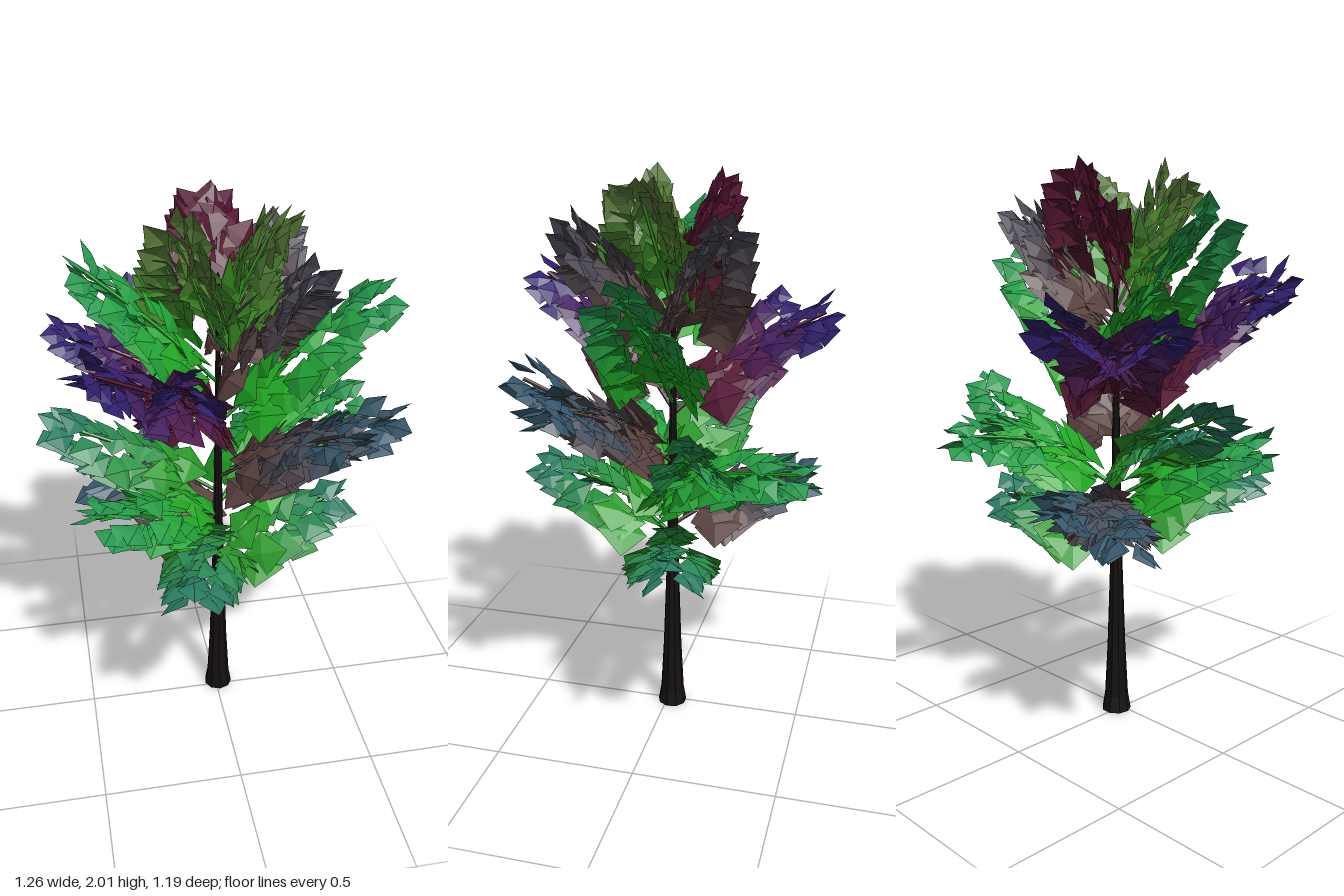
import * as THREE from 'three';
import { mergeGeometries } from 'three/addons/utils/BufferGeometryUtils.js';

const V = (x, y, z) => new THREE.Vector3(x, y, z);
const UP = V(0, 1, 0);

// leaf colours, from the trunk end of a branch to its tip
const PALETTE = {
  green: [0x22a825, 0x27994f],
  teal: [0x2b9a2b, 0x2a7d62],
  purple: [0x5c1c3a, 0x32206e],
  slate: [0x5c4442, 0x36566a],
  dusk: [0x5c4442, 0x4c4a56],
  red: [0x55182c, 0x5a1436],
  olive: [0x3f9428, 0x5a7a3a],
};

// start height on the trunk, colours, leaf spread, arch, and one or two tips
const BRANCHES = [
  [0.62, 'teal', 1.0, 0.04, [0.54, 0.80, -0.14]],
  [0.70, 'teal', 1.0, 0.06, [-0.19, 0.88, 0.57]],
  [0.74, 'slate', 0.85, 0.03, [-0.47, 0.84, -0.41], [-0.20, 0.94, -0.51]],
  [0.82, 'green', 1.0, 0.04, [-0.49, 1.04, 0.27]],
  [0.86, 'green', 0.9, 0.03, [0.32, 1.10, -0.56], [0.60, 1.22, -0.20]],
  [0.92, 'teal', 1.0, 0.03, [-0.61, 1.23, -0.14]],
  [0.98, 'slate', 0.9, 0.03, [0.61, 1.36, 0.28], [0.38, 1.39, 0.45]],
  [1.16, 'purple', 0.85, 0.02, [-0.27, 1.54, -0.57], [-0.56, 1.51, -0.34]],
  [1.18, 'purple', 0.85, 0.02, [-0.20, 1.66, 0.56], [-0.50, 1.64, 0.36]],
  [1.20, 'green', 1.1, 0.02, [0.61, 1.72, 0.01]],
  [1.36, 'green', 1.1, 0.02, [-0.47, 1.84, -0.01]],
  [1.42, 'dusk', 1.2, 0, [0.26, 1.86, 0.28]],
  [1.42, 'dusk', 1.1, 0, [0.27, 1.86, -0.26]],
  [1.50, 'olive', 1.2, 0, [-0.16, 1.96, 0.13]],
  [1.54, 'olive', 1.2, 0, [0.20, 1.97, 0.05]],
  [1.58, 'red', 1.2, 0, [0.0, 1.97, -0.20]],
];

let seed = 7;
function rand(range) {
  seed = (seed * 16807) % 2147483647;
  return (seed / 2147483647 * 2 - 1) * range;
}

// sharp-cornered square leaf, pointing along +z and creased along its midrib
function leafGeometry() {
  const g = new THREE.BufferGeometry();
  g.setAttribute('position', new THREE.Float32BufferAttribute([
    0, 0, 0, 0.52, -0.12, 0.5, 0, -0.06, 1.1, -0.52, -0.12, 0.5, 0, 0.05, 0.5,
  ], 3));
  g.setIndex([0, 4, 1, 1, 4, 2, 2, 4, 3, 3, 4, 0]);
  const flat = g.toNonIndexed();
  flat.computeVertexNormals();
  return flat;
}

// place a leaf by its root, pointing direction and upper side
function placeLeaf(leaf, root, dir, up, size) {
  const z = dir.clone().normalize();
  const x = up.clone().cross(z).normalize();
  const y = z.clone().cross(x);
  const m = new THREE.Matrix4().makeBasis(x, y, z);
  m.scale(V(size, size, size)).setPosition(root);
  return leaf.clone().applyMatrix4(m);
}

// roof-like rows of leaves along a branch: a raised middle and drooping sides
function foliage(curve, spread, colors) {
  const group = new THREE.Group();
  group.name = 'foliage';
  const leaf = leafGeometry();
  const BANDS = 4, ROWS = 16;
  const bands = Array.from({ length: BANDS }, () => []);
  for (let i = 0; i < ROWS; i++) {
    const f = i / (ROWS - 1);
    const t = 0.2 + 0.8 * f;
    const p = curve.getPointAt(t), tan = curve.getTangentAt(t);
    const side = tan.clone().cross(UP).normalize();
    const up = side.clone().cross(tan).normalize();
    const size = (0.17 - 0.07 * f) * (0.85 + 0.15 * spread);
    const width = spread * (0.03 + 0.05 * Math.sin(Math.PI * Math.min(1, 0.25 + f * 0.72)));
    for (const s of [-1, 0, 1]) {
      const root = p.clone().addScaledVector(side, s * width * 0.85 + rand(0.012))
        .addScaledVector(up, (s ? -0.02 : 0.025) + rand(0.022))
        .addScaledVector(tan, -size * 0.35);
      const dir = tan.clone().addScaledVector(side, s * 0.7 + rand(0.25))
        .addScaledVector(up, (s ? -0.32 : 0.14) + rand(0.35));
      const top = up.clone().addScaledVector(side, s * 0.6 + rand(0.45));
      bands[Math.min(BANDS - 1, Math.floor(f * BANDS))].push(placeLeaf(leaf, root, dir, top, size));
    }
  }
  bands.forEach((list, b) => {
    const color = new THREE.Color(colors[0]).lerp(new THREE.Color(colors[1]), b / (BANDS - 1));
    const mesh = new THREE.Mesh(mergeGeometries(list),
      new THREE.MeshStandardMaterial({ color, side: THREE.DoubleSide, flatShading: true }));
    mesh.name = 'leaves';
    group.add(mesh);
  });
  return group;
}

function branch([startY, palette, spread, arch, ...tips]) {
  const group = new THREE.Group();
  group.name = 'branch';
  const colors = PALETTE[palette];
  const start = V(0.01, startY, -0.02);
  const ends = tips.map((t) => start.clone().lerp(V(...t), 0.9));
  // forked branches share their lower half
  const fork = V(0, 0, 0);
  ends.forEach((e) => fork.addScaledVector(e, 1 / ends.length));
  fork.lerp(start, 0.55).add(V(0, arch, 0));
  for (const end of ends) {
    const curve = new THREE.CatmullRomCurve3([start, fork, end]);
    const twig = new THREE.Mesh(new THREE.TubeGeometry(curve, 8, 0.007, 5),
      new THREE.MeshStandardMaterial({ color: colors[0], flatShading: true }));
    twig.name = 'twig';
    group.add(twig, foliage(curve, spread, colors));
  }
  return group;
}

export function createModel() {
  const tree = new THREE.Group();
  tree.name = 'tree';

  // tapered trunk with a flared foot
  const profile = [[0, 0], [0.054, 0], [0.044, 0.06], [0.034, 0.25], [0.024, 0.55],
    [0.018, 0.8], [0.013, 1.15], [0.009, 1.5], [0.004, 1.75], [0, 1.76]];
  const trunk = new THREE.Mesh(
    new THREE.LatheGeometry(profile.map((p) => new THREE.Vector2(...p)), 9),
    new THREE.MeshStandardMaterial({ color: 0x14110f, flatShading: true }));
  trunk.name = 'trunk';
  trunk.position.set(0.01, 0, -0.02);
  tree.add(trunk);

  const crown = new THREE.Group();
  crown.name = 'crown';
  BRANCHES.forEach((b) => crown.add(branch(b)));
  tree.add(crown);
  return tree;
}
